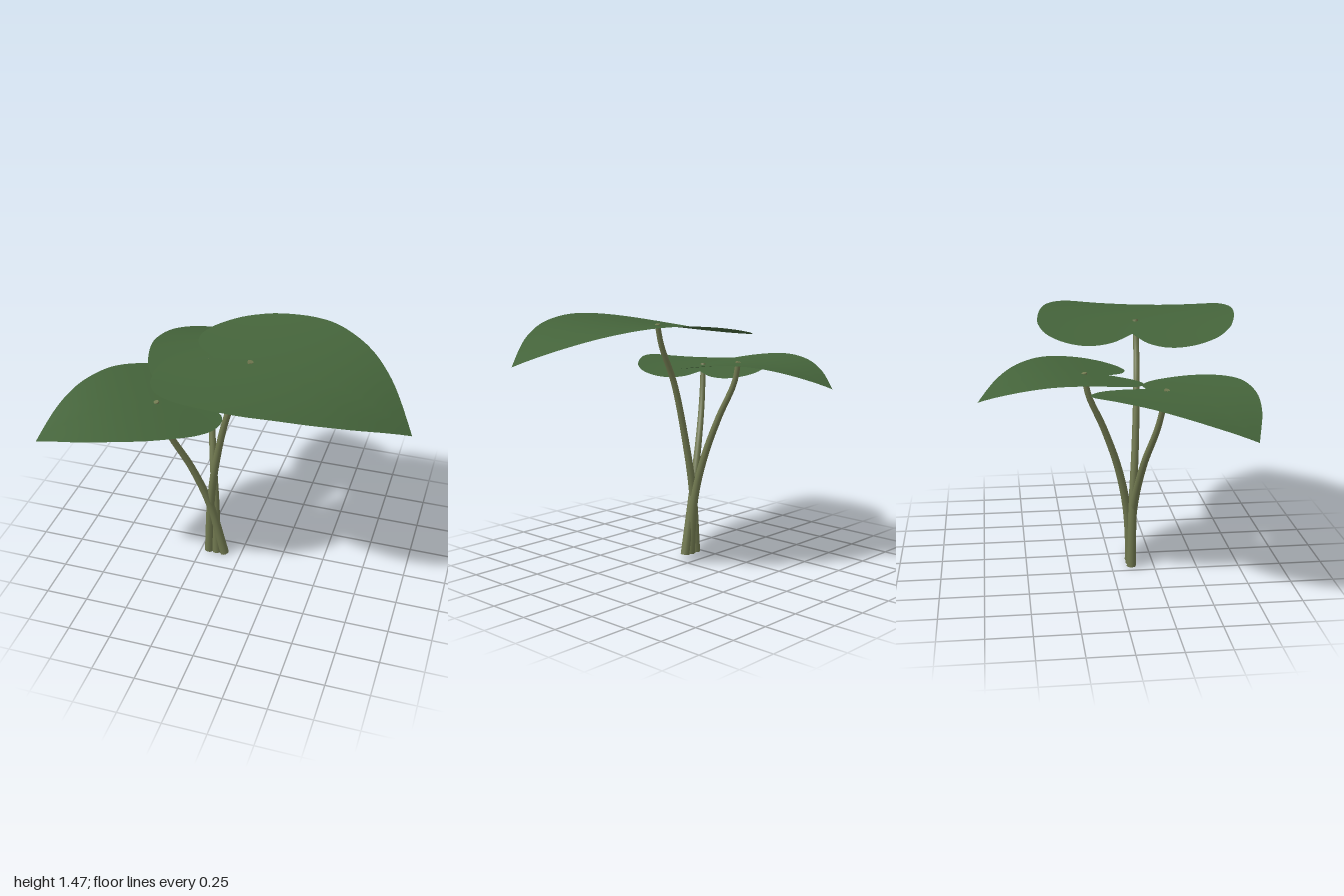
import * as THREE from 'three';

const leafGreen = new THREE.MeshStandardMaterial({ name: 'leaf green', color: 0x44633a, side: THREE.DoubleSide });
const stemGreen = new THREE.MeshStandardMaterial({ name: 'stem olive', color: 0x70784f });

// Half of the heart-shaped outline, from tip to notch; the stalk joins at (0, 0)
const HALF = [
  [0.94, 0], [0.777, 0.2], [0.67, 0.31], [0.535, 0.418], [0.38, 0.5], [0.23, 0.553],
  [0.07, 0.568], [-0.1, 0.556], [-0.2, 0.53], [-0.31, 0.475], [-0.4, 0.38], [-0.443, 0.28],
  [-0.435, 0.19], [-0.375, 0.1], [-0.29, 0.04], [-0.225, 0],
].map(([u, v]) => new THREE.Vector2(u, v));

// Drooping tip, lowered lobes and slightly raised sides
const leafHeight = (u, v) => 0.115 * u - 0.134 * u * u - 0.1986 * u ** 3 + 0.09 * v * v;

// Leaf blade: concentric rings of the outline around the stalk
function leafGeometry(rings = 10) {
  const half = new THREE.SplineCurve(HALF).getPoints(45);
  const mirrored = half.slice(1, -1).reverse().map((p) => new THREE.Vector2(p.x, -p.y));
  const outline = [...half, ...mirrored];
  const n = outline.length;
  const positions = [0, 0, 0];
  const index = [];
  for (let r = 1; r <= rings; r++) {
    for (const p of outline) {
      const u = (p.x * r) / rings, v = (p.y * r) / rings;
      positions.push(u, leafHeight(u, v), v);
    }
  }
  for (let i = 0; i < n; i++) {
    const j = (i + 1) % n;
    index.push(0, 1 + j, 1 + i);
    for (let r = 0; r < rings - 1; r++) {
      const a = 1 + r * n, b = a + n;
      index.push(a + i, a + j, b + i, a + j, b + j, b + i);
    }
  }
  const geo = new THREE.BufferGeometry();
  geo.setAttribute('position', new THREE.Float32BufferAttribute(positions, 3));
  geo.setIndex(index);
  geo.computeVertexNormals();
  return geo;
}

// Stalk: a tube that narrows from base to top, closed at both ends
function makeStem(points, name) {
  const curve = new THREE.CatmullRomCurve3(points.map((p) => new THREE.Vector3(...p)));
  const segments = 32, sides = 12, baseR = 0.027, topR = 0.016;
  const geo = new THREE.TubeGeometry(curve, segments, baseR, sides);
  const pos = geo.attributes.position;
  const v = new THREE.Vector3();
  for (let i = 0; i < pos.count; i++) {
    const t = Math.floor(i / (sides + 1)) / segments;
    const centre = curve.getPointAt(t);
    v.fromBufferAttribute(pos, i).sub(centre).multiplyScalar(1 + (topR / baseR - 1) * t).add(centre);
    pos.setXYZ(i, v.x, v.y, v.z);
  }
  const group = new THREE.Group();
  group.name = name;
  const tube = new THREE.Mesh(geo, stemGreen);
  tube.name = 'stalk';
  group.add(tube);
  for (const [t, radius, dir] of [[0, baseR, -1], [1, topR, 1]]) {
    const cap = new THREE.Mesh(new THREE.CircleGeometry(radius, sides), stemGreen);
    cap.name = 'stalkEnd';
    cap.position.copy(curve.getPointAt(t));
    cap.quaternion.setFromUnitVectors(new THREE.Vector3(0, 0, 1), curve.getTangentAt(t).multiplyScalar(dir));
    group.add(cap);
  }
  return group;
}

// Each plant part: leaf joint, pointing direction (x, z), size and stalk path
const LEAVES = [
  {
    name: 'large', at: [0.08, 1.422, 0.165], dir: [0.92, 0.187], scale: 1,
    stem: [[-0.2, 0.005, 0.115], [-0.178, 0.4, 0.124], [-0.132, 0.72, 0.142], [-0.052, 1.07, 0.158], [0.045, 1.3, 0.167], [0.08, 1.428, 0.165]],
  },
  {
    name: 'medium', at: [-0.437, 1.137, 0.267], dir: [-0.565, 0.38], scale: 0.727,
    stem: [[-0.1, 0.005, 0.115], [-0.185, 0.38, 0.13], [-0.28, 0.66, 0.17], [-0.385, 0.92, 0.235], [-0.437, 1.142, 0.272]],
  },
  {
    name: 'small', at: [-0.262, 1.2, -0.162], dir: [-0.125, -0.585], scale: 0.638,
    stem: [[-0.15, 0.005, 0.115], [-0.16, 0.35, 0.092], [-0.188, 0.62, 0.036], [-0.222, 0.87, -0.05], [-0.254, 1.08, -0.14], [-0.262, 1.205, -0.163]],
  },
];

export function createModel() {
  const plant = new THREE.Group();
  plant.name = 'leafyPlant';
  const blade = leafGeometry();
  for (const { name, at, dir, scale, stem } of LEAVES) {
    const leaf = new THREE.Mesh(blade, leafGreen);
    leaf.name = name + 'Leaf';
    leaf.position.set(...at);
    leaf.rotation.y = -Math.atan2(dir[1], dir[0]);
    leaf.scale.setScalar(scale);
    plant.add(leaf, makeStem(stem, name + 'Stem'));
  }
  return plant;
}
